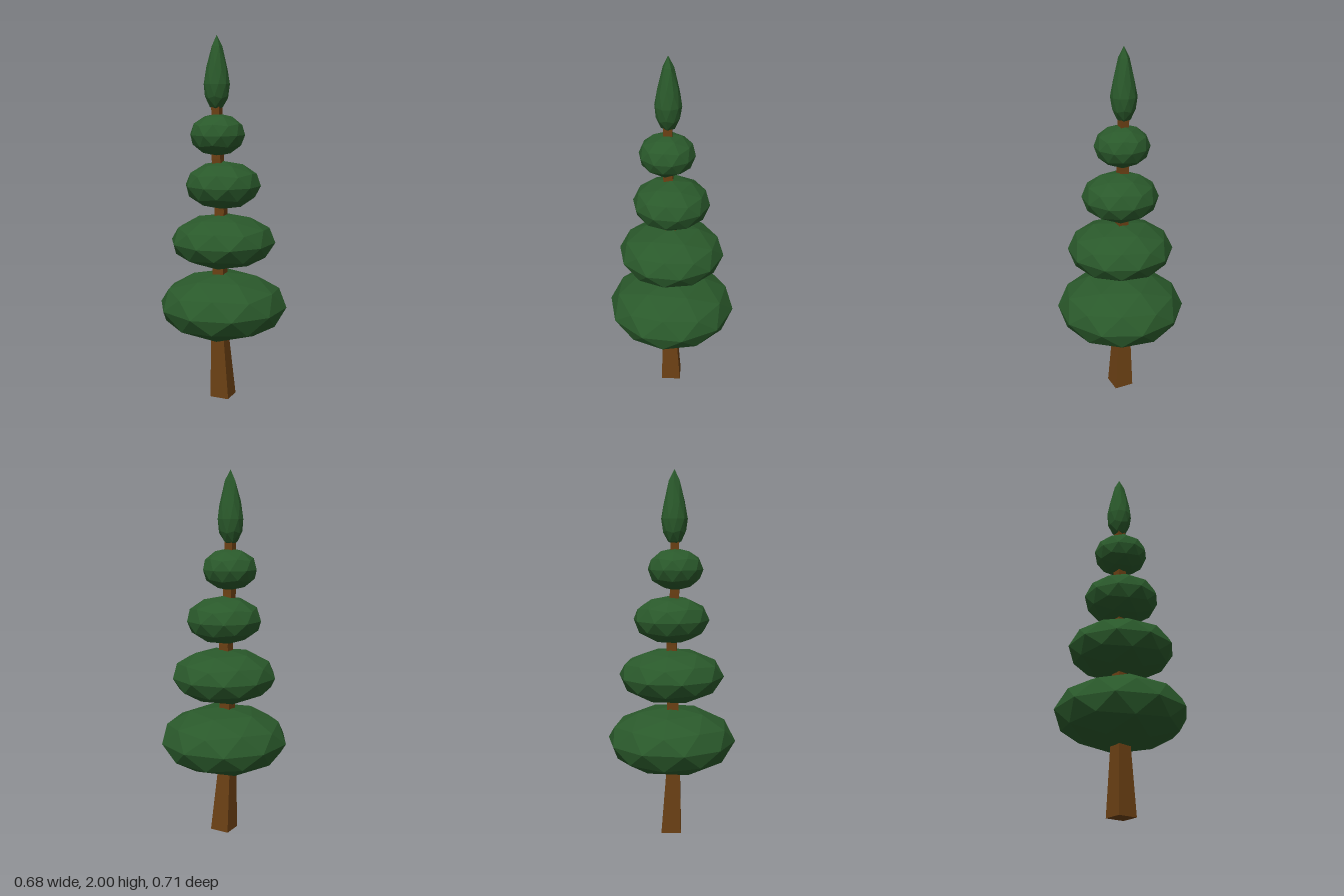
import * as THREE from 'three';

const leaf = new THREE.MeshStandardMaterial({ color: 0x2a592b, flatShading: true });
const bark = new THREE.MeshStandardMaterial({ color: 0x6b4014, flatShading: true });

// Unit faceted ball with a vertex at each pole
function facetedBall() {
  return new THREE.IcosahedronGeometry(1, 1).rotateZ(Math.atan2(1, (1 + Math.sqrt(5)) / 2));
}

function addMesh(group, name, geometry, material) {
  geometry.computeVertexNormals();
  const mesh = new THREE.Mesh(geometry, material);
  mesh.name = name;
  group.add(mesh);
  return mesh;
}

// Square trunk lofted through sections [y, centre x, centre z, width]
function trunkGeometry(sections, turn) {
  const positions = [], index = [];
  for (const [y, cx, cz, width] of sections) {
    const r = width / Math.SQRT2 / (Math.cos(turn) + Math.sin(turn));
    for (let k = 0; k < 4; k++) {
      const a = turn + Math.PI / 4 + k * Math.PI / 2;
      positions.push(cx + r * Math.sin(a), y, cz + r * Math.cos(a));
    }
  }
  for (let s = 0; s < sections.length - 1; s++) {
    for (let k = 0; k < 4; k++) {
      const a = s * 4 + k, b = s * 4 + (k + 1) % 4;
      index.push(a, b, b + 4, a, b + 4, a + 4);
    }
  }
  const top = (sections.length - 1) * 4;
  index.push(0, 2, 1, 0, 3, 2, top, top + 1, top + 2, top, top + 2, top + 3);
  const geometry = new THREE.BufferGeometry();
  geometry.setAttribute('position', new THREE.Float32BufferAttribute(positions, 3));
  geometry.setIndex(index);
  return geometry.toNonIndexed();
}

// Ball drawn out into a pointed bud: long above its waist, short below
function budGeometry(radius, waist, bottom, top) {
  const geometry = facetedBall();
  const p = geometry.attributes.position;
  for (let i = 0; i < p.count; i++) {
    const y = p.getY(i);
    const t = y > 0 ? Math.pow(y, 1.6) : 0;
    const r = radius * (1 - 0.25 * t);
    const h = y > 0 ? waist + (top - waist) * t : waist + (waist - bottom) * y;
    p.setXYZ(i, p.getX(i) * r, h, p.getZ(i) * r);
  }
  return geometry;
}

export function createModel() {
  const tree = new THREE.Group();
  tree.name = 'topiaryTree';

  // Slightly crooked tapering trunk
  addMesh(tree, 'trunk', trunkGeometry([
    [0, 0, 0, 0.12],
    [0.35, -0.012, 0.012, 0.083],
    [0.73, -0.013, 0.01, 0.069],
    [1.07, -0.01, 0.003, 0.06],
    [1.35, -0.021, 0.02, 0.055],
    [1.7, -0.027, 0.022, 0.048],
  ], 0.1), bark);

  // Flattened foliage tiers: [x, y, z, radius, half height]
  const tiers = [
    [0, 0.535, 0, 0.356, 0.185],
    [0, 0.897, 0, 0.29, 0.149],
    [0, 1.206, 0, 0.208, 0.131],
    [-0.02, 1.479, 0.025, 0.15, 0.113],
  ];
  tiers.forEach(([x, y, z, r, h], i) => {
    const ball = facetedBall().scale(r, h, r).translate(x, y, z);
    addMesh(tree, `foliageTier${i + 1}`, ball, leaf);
  });

  // Pointed top
  const bud = addMesh(tree, 'foliageTip', budGeometry(0.071, 1.745, 1.605, 2), leaf);
  bud.position.set(-0.027, 0, 0.02);

  return tree;
}
